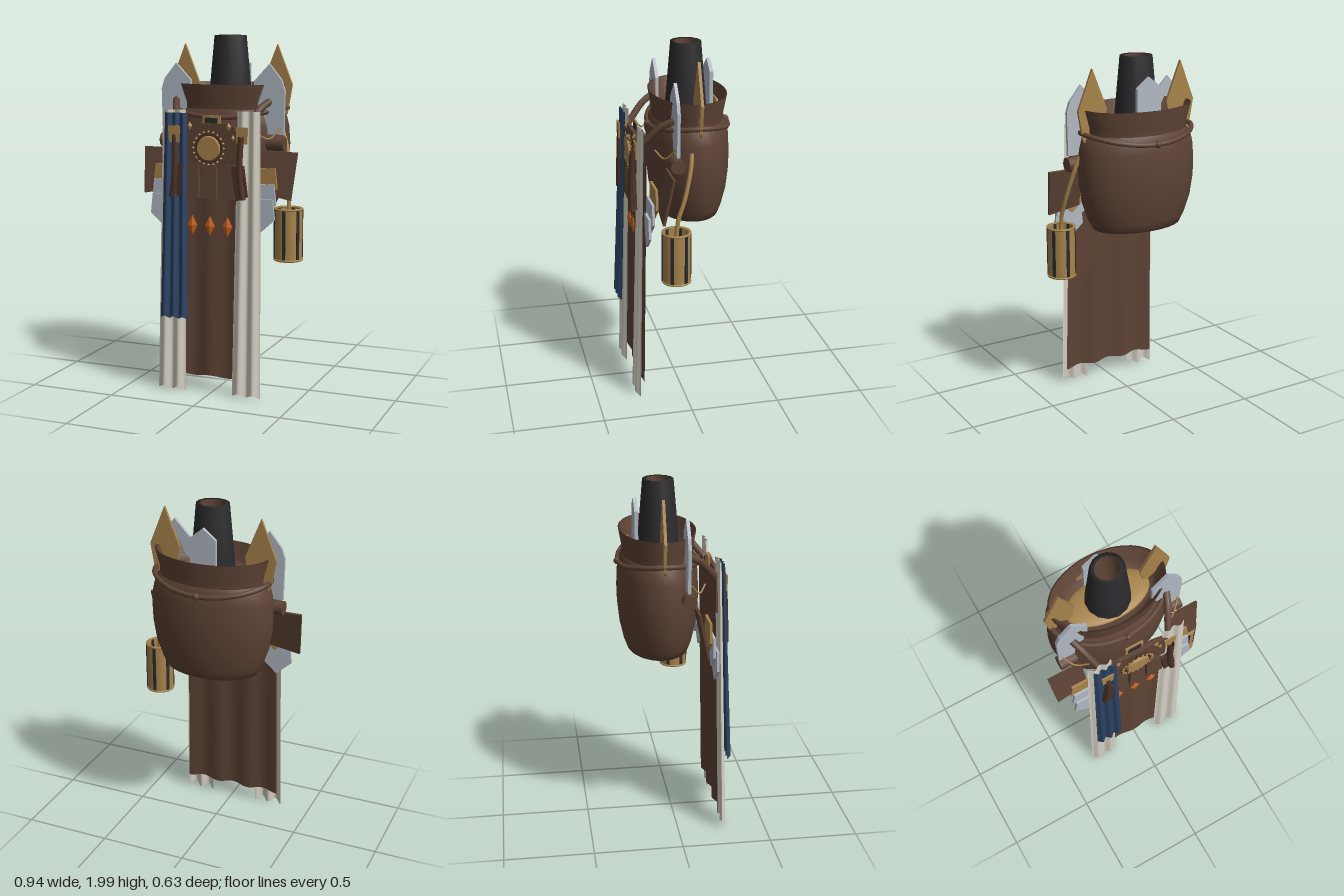
import * as THREE from 'three';

const mat = (name, color) => {
  const m = new THREE.MeshStandardMaterial({ color, side: THREE.DoubleSide });
  m.name = name;
  return m;
};

export function createModel() {
  const brown = mat('brown leather', 0x5e4335);
  const dark = mat('dark leather', 0x4c3226);
  const black = mat('black', 0x2b2b2d);
  const gold = mat('gold', 0xa8844c);
  const steel = mat('steel', 0xb2bac4);
  const cream = mat('cream cloth', 0xd6d1c4);
  const navy = mat('navy cloth', 0x2b4363);
  const orange = mat('orange', 0xd0661e);

  const root = new THREE.Group();
  const suit = new THREE.Group(); // everything symmetric
  suit.name = 'outfit';
  suit.position.x = -0.012;
  root.add(suit);

  const add = (name, geo, material, x = 0, y = 0, z = 0, parent = suit) => {
    const m = new THREE.Mesh(geo, material);
    m.name = name;
    m.position.set(x, y, z);
    parent.add(m);
    return m;
  };
  const v2 = (p) => p.map(([x, y]) => new THREE.Vector2(x, y));
  const v3 = (p) => p.map(([x, y, z]) => new THREE.Vector3(x, y, z));
  const plate = (name, pts, depth, material, x, y, z, parent) => {
    const geo = new THREE.ExtrudeGeometry(new THREE.Shape(v2(pts)), { depth, bevelEnabled: false });
    geo.translate(0, 0, -depth / 2);
    return add(name, geo, material, x, y, z, parent);
  };
  const tube = (name, pts, r, material, parent, closed = false) =>
    add(name, new THREE.TubeGeometry(new THREE.CatmullRomCurve3(v3(pts), closed), closed ? 48 : 16, r, 8, closed), material, 0, 0, 0, parent);

  // Hanging cloth: edges and depth run from top to bottom, with vertical folds
  const cloth = (name, material, o) => {
    const geo = new THREE.PlaneGeometry(1, 1, 32, 10);
    const p = geo.attributes.position;
    for (let i = 0; i < p.count; i++) {
      const u = p.getX(i) + 0.5, t = 0.5 - p.getY(i);
      const left = THREE.MathUtils.lerp(o.top[0], o.bottom[0], t);
      const right = THREE.MathUtils.lerp(o.top[1], o.bottom[1], t);
      const fold = Math.cos(u * Math.PI * 2 * o.folds);
      const y = THREE.MathUtils.lerp(o.y[0], o.y[1], t) - o.hem * t * fold;
      const z = THREE.MathUtils.lerp(o.z[0], o.z[1], t) - o.amp * (0.6 + 0.4 * t) * fold;
      p.setXYZ(i, THREE.MathUtils.lerp(left, right, u), y, z);
    }
    geo.computeVertexNormals();
    return add(name, geo, material);
  };

  // Barrel-shaped torso with flared collar, hollow below
  const cz = -0.08;
  const oval = (name, pts, material) => {
    const m = add(name, new THREE.LatheGeometry(v2(pts), 40), material, 0, 0, cz);
    m.scale.set(0.35, 1, 0.225);
    return m;
  };
  oval('torso', [[0.62, 1.14], [0.71, 1.06], [0.76, 1.05], [0.84, 1.1], [0.94, 1.2], [0.99, 1.31],
    [1, 1.4], [0.98, 1.5], [0.93, 1.57], [0.84, 1.6]], brown);
  oval('collar', [[0.86, 1.58], [0.86, 1.63], [0.94, 1.73], [0.9, 1.73], [0.8, 1.64], [0.68, 1.61], [0.01, 1.61]], brown);
  oval('undersideLining', [[0, 1.14], [0.74, 1.13]], black);
  const lip = [];
  for (let i = 0; i < 24; i++) {
    const a = (i / 24) * Math.PI * 2, s = Math.sin(a);
    lip.push([0.333 * Math.cos(a), 1.6 - 0.05 * s * s, cz + 0.217 * s]);
  }
  tube('collarLip', lip, 0.014, brown, suit, true);
  for (const z of [-0.3, 0.142]) add('collarKnob', new THREE.SphereGeometry(0.02, 12, 8), brown, 0, 1.55, z);
  const dome = add('neckCushion', new THREE.SphereGeometry(1, 32, 8, 0, Math.PI * 2, 0, Math.PI / 2), gold, 0, 1.61, cz);
  dome.scale.set(0.245, 0.03, 0.132);

  // Tapered hollow neck funnel
  const neck = add('neckFunnel', new THREE.LatheGeometry(v2([[0.128, 1.61], [0.117, 1.73], [0.092, 2], [0.068, 2]]), 14), black, 0, 0, -0.073);
  const lining = add('neckLining', new THREE.LatheGeometry(v2([[0.068, 2], [0.064, 1.7], [0, 1.7]]), 14), brown, 0, 0, -0.073);
  neck.scale.z = lining.scale.z = 0.93;

  // Cloth layers
  cloth('apron', brown, { top: [-0.27, 0.27], bottom: [-0.29, 0.295], y: [1.5, 0.1], z: [0.205, 0.238], folds: 3, amp: 0.008, hem: 0.006 });
  for (const s of [-1, 1]) {
    cloth('stole', cream, { top: s < 0 ? [-0.285, -0.145] : [0.16, 0.29], bottom: s < 0 ? [-0.31, -0.14] : [0.14, 0.31],
      y: [1.595, 0.018], z: [0.228, 0.268], folds: 2, amp: 0.013, hem: 0.01 });
  }
  cloth('sash', navy, { top: [-0.262, -0.128], bottom: [-0.28, -0.112], y: [1.58, 0.435], z: [0.25, 0.295], folds: 3, amp: 0.012, hem: 0.008 });

  // Paired armour and straps
  const blade = [[-0.085, -0.05], [-0.09, 0.24], [-0.07, 0.3], [0, 0.385], [0.09, 0.29], [0.088, 0], [0.06, -0.01]];
  const spike = [[0, -0.01], [-0.06, 0.09], [-0.088, 0.25], [0, 0.47], [0.088, 0.25], [0.06, 0.09]];
  for (const s of [-1, 1]) {
    const side = new THREE.Group();
    side.name = s < 0 ? 'rightArmour' : 'leftArmour';
    side.position.x = s * 0.28;
    suit.add(side);
    const flip = (pts) => (s < 0 ? pts : pts.map(([x, y]) => [-x, y]));
    plate('shoulderPlate', flip(blade.map(([x, y]) => [x, Math.max(y, 0)])), 0.018, steel, 0, 1.46, 0.047, side);
    plate('shoulderSpike', flip(spike), 0.016, gold, 0, 1.48, -0.08, side);

    // Overlapping hip plates
    [[gold, 1.285, 0.165], [steel, 1.2, 0.185], [steel, 1.12, 0.205]].forEach(([m, y, z]) =>
      plate('hipPlate', [[-0.078, 0], [0.078, 0], [0.09, -0.11], [0, -0.19], [-0.09, -0.11]], 0.014, m, 0, y, z, side));

    // Slanted side flap
    const flap = plate('sideFlap', flip([[-0.18, 0], [0.02, 0], [0.03, -0.23], [-0.16, -0.265]]), 0.014, brown, 0, 1.37, 0.09, side);
    flap.rotation.x = -0.2;
    const roll = add('sideRoll', new THREE.CylinderGeometry(0.04, 0.04, 0.1, 14), brown, s * 0.04, 1.41, 0.05, side);
    roll.rotation.z = Math.PI / 2;

    // Shoulder strap, buckle and hanging strap end
    tube('shoulderStrap', [[0, 1.64, 0.05], [-s * 0.03, 1.6, 0.12], [-s * 0.075, 1.5, 0.21]], 0.02, brown, side);
    plate('strapBuckle', [[-0.03, -0.045], [0.03, -0.045], [0.035, 0.045], [-0.035, 0.045]], 0.008, gold,
      -s * 0.085, 1.465, s < 0 ? 0.272 : 0.248, side);
    tube('strapEnd', [[-s * 0.085, 1.46, 0.262], [-s * 0.09, 1.34, 0.268], [-s * 0.085, 1.22, 0.272], [-s * 0.07, 1.12, 0.272]], 0.018, dark, side);
    tube('cord', [[s * 0.07, 1.5, 0.06], [s * 0.02, 1.44, 0.11], [-s * 0.04, 1.47, 0.15]], 0.005, gold, side);
  }

  // Rear plates
  plate('rearPlate', [[-0.075, 0], [0.075, 0], [0.075, 0.23], [0, 0.29], [-0.075, 0.23]], 0.02, steel, 0, 1.61, -0.2);
  plate('rearTrim', [[-0.1, 0], [0.1, 0], [0.05, 0.05], [-0.05, 0.05]], 0.01, gold, 0, 1.63, -0.238);

  // Belt panel with pouch flaps
  plate('beltPanel', [[-0.2, -0.11], [0.2, -0.11], [0.19, 0.1], [0.1, 0.125], [-0.1, 0.125], [-0.19, 0.1]], 0.02, brown, 0, 1.4, 0.228);
  for (const x of [-0.105, 0, 0.105]) {
    const pouch = plate('pouchFlap', [[-0.042, 0], [0.042, 0], [0.05, -0.19], [-0.05, -0.19]], 0.022, brown, x, 1.305, 0.238);
    pouch.rotation.x = -0.06;
  }
  for (const s of [-1, 1]) {
    const pouch = plate('outerPouchFlap', [[-0.035, 0], [0.035, 0], [0.04, -0.17], [-0.03, -0.19]], 0.02, dark, s * 0.175, 1.3, 0.258);
    pouch.rotation.z = s * 0.1;
  }

  // Sunburst emblem, centre buckle and studs
  const star = [];
  for (let i = 0; i < 40; i++) {
    const r = i % 2 ? 0.078 : 0.102, a = (i / 40) * Math.PI * 2;
    star.push([r * Math.cos(a), r * Math.sin(a)]);
  }
  plate('sunRays', star, 0.008, dark, 0, 1.39, 0.243);
  for (let i = 0; i < 20; i++) {
    const a = (i / 20) * Math.PI * 2;
    add('sunBead', new THREE.OctahedronGeometry(0.009), gold, 0.09 * Math.cos(a), 1.39 + 0.09 * Math.sin(a), 0.249);
  }
  const disc = add('sunDisc', new THREE.CylinderGeometry(0.064, 0.07, 0.016, 28), gold, 0, 1.39, 0.252);
  disc.rotation.x = Math.PI / 2;
  add('buckleFrame', new THREE.BoxGeometry(0.105, 0.07, 0.01), gold, 0, 1.53, 0.205);
  add('buckleInset', new THREE.BoxGeometry(0.075, 0.045, 0.01), black, 0, 1.532, 0.211);
  const diamond = (name, w, h, m, x, y, z) => add(name, new THREE.OctahedronGeometry(1), m, x, y, z).scale.set(w, h, 0.012);
  for (const s of [-1, 1]) {
    diamond('stud', 0.016, 0.024, gold, s * 0.115, 1.51, 0.24);
    diamond('stud', 0.012, 0.018, gold, s * 0.14, 1.45, 0.24);
  }
  for (const x of [-0.105, 0, 0.105]) diamond('gem', 0.03, 0.058, orange, x, 0.958, 0.232);

  // Hanging lantern on a curved arm
  const lantern = new THREE.Group();
  lantern.name = 'lantern';
  lantern.position.set(0.39, 0, 0.068);
  root.add(lantern);
  add('lanternShell', new THREE.LatheGeometry(v2([[0.06, 0.77], [0.074, 0.765], [0.077, 0.78], [0.077, 1.05], [0.074, 1.062], [0.066, 1.055]]), 24), gold, 0, 0, 0, lantern);
  add('lanternFloor', new THREE.CylinderGeometry(0.07, 0.07, 0.01, 24), gold, 0, 0.79, 0, lantern);
  for (const y of [0.772, 1.055]) {
    const ring = add('lanternRing', new THREE.TorusGeometry(0.076, 0.006, 8, 28), gold, 0, y, 0, lantern);
    ring.rotation.x = Math.PI / 2;
  }
  for (let i = 0; i < 6; i++) {
    const a = (i / 6) * Math.PI * 2;
    const bar = add('lanternBar', new THREE.BoxGeometry(0.018, 0.27, 0.008), black, 0.077 * Math.sin(a), 0.915, 0.077 * Math.cos(a), lantern);
    bar.rotation.y = a;
  }
  add('lanternGlow', new THREE.SphereGeometry(0.045, 16, 12), orange, 0, 0.98, 0, lantern);
  tube('lanternArm', [[-0.07, 1.47, -0.1], [-0.045, 1.4, -0.09], [-0.01, 1.24, -0.05], [0, 1.12, -0.01], [0, 1.02, 0]], 0.012, gold, lantern);

  return root;
}
